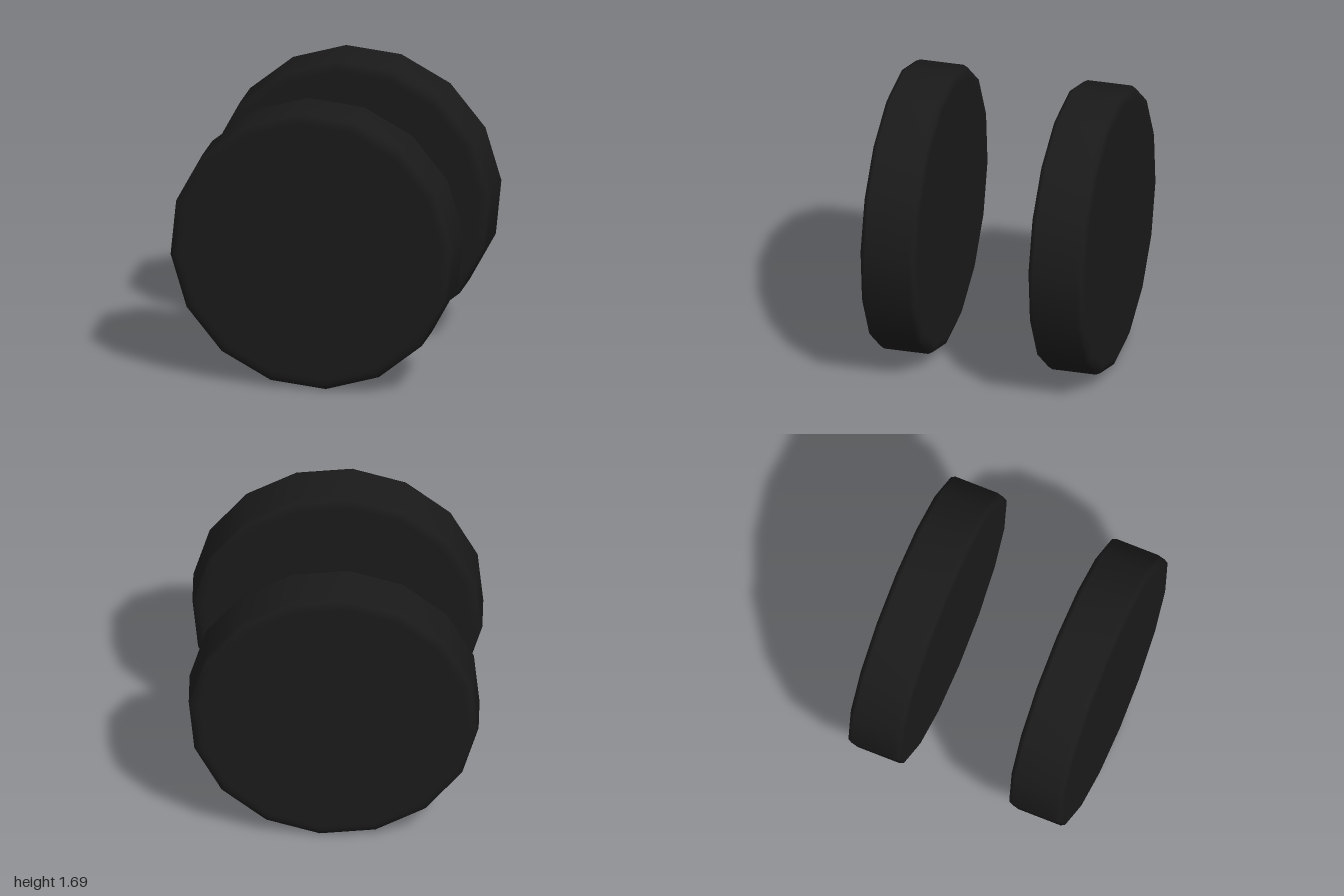
import * as THREE from 'three';

const SIDES = 16;
const RADIUS = 0.849;
const HALF_WIDTH = 0.167;
const TURN = THREE.MathUtils.degToRad(5.5); // roll of the sixteen-sided rim
const STEER = THREE.MathUtils.degToRad(-18);

// Bevelled solid disc, its axle along z
function wheelGeometry() {
  const half = [
    [RADIUS, 0.132],
    [RADIUS - 0.012, 0.156],
    [RADIUS - 0.044, HALF_WIDTH],
    [RADIUS - 0.07, HALF_WIDTH], // keeps the flat face evenly shaded
    [0, HALF_WIDTH],
  ];
  const profile = [
    ...half.slice().reverse().map(([r, w]) => new THREE.Vector2(r, -w)),
    ...half.map(([r, w]) => new THREE.Vector2(r, w)),
  ];
  return new THREE.LatheGeometry(profile, SIDES, TURN).rotateX(Math.PI / 2);
}

export function createModel() {
  const group = new THREE.Group();
  group.name = 'wheelPair';
  const material = new THREE.MeshStandardMaterial({ color: 0x1a1a1a });
  const geometry = wheelGeometry();

  // Two matching wheels, turned the same way and set apart along the axle
  for (const [name, side] of [['frontWheel', 1], ['backWheel', -1]]) {
    const wheel = new THREE.Mesh(geometry, material);
    wheel.name = name;
    wheel.position.set(-0.157 * side, RADIUS * Math.cos(TURN), 0.482 * side);
    wheel.rotation.y = STEER;
    group.add(wheel);
  }
  return group;
}
